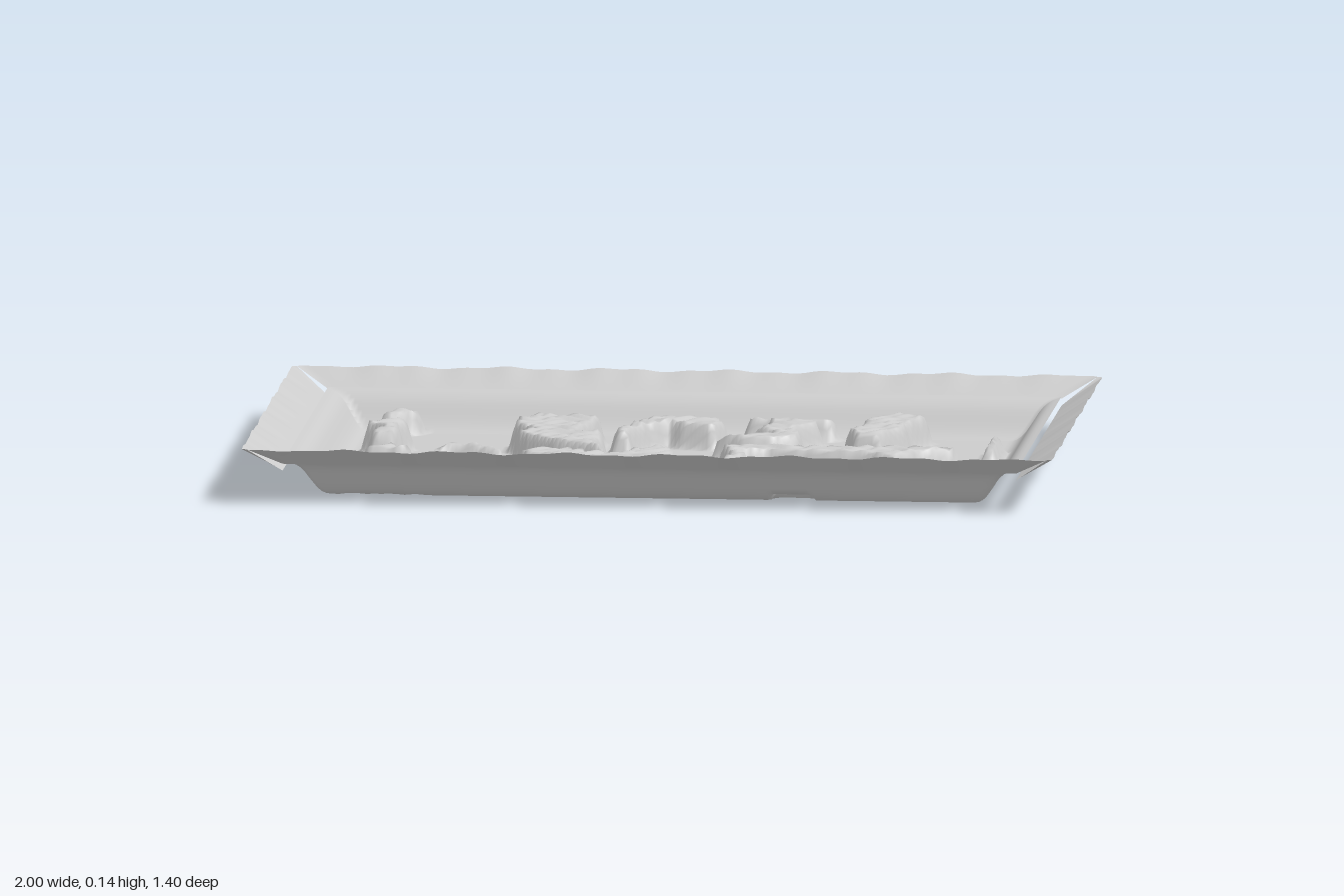
import * as THREE from 'three';

const material = new THREE.MeshStandardMaterial({ color: 0xcccccc, side: THREE.DoubleSide });
const { lerp, smoothstep, clamp } = THREE.MathUtils;

// Half sizes of the basin and of the outer rim
const BASIN_X = 0.905, BASIN_Z = 0.62, RIM_X = 1, RIM_Z = 0.7;

// Basin wall profile: [distance in from the edge, height]
const WALL = [[0, 0.095], [0.025, 0.088], [0.045, 0.072], [0.065, 0.04], [0.085, 0.012], [0.105, 0]];

// Raised islands, each a height and an outline of x, z pairs
const islands = [];
function island(height, ...c) {
  const points = [];
  for (let i = 0; i < c.length; i += 2) points.push([c[i], c[i + 1]]);
  islands.push({ height, points });
}
function peg(height, x, z, r) {
  const c = [];
  for (let i = 0; i < 8; i++) c.push(x + r * Math.cos(i * Math.PI / 4), z + r * Math.sin(i * Math.PI / 4));
  island(height, ...c);
}

// Large central islands
island(0.075, -.36, -.38, -.33, -.36, -.21, -.36, -.21, -.24, -.25, -.11, -.18, -.10, -.17, 0, -.19, .05,
  -.155, .13, -.29, .05, -.36, -.02, -.39, -.07, -.36, -.13, -.41, -.21, -.41, -.30);
island(0.07, -.36, .20, -.28, .14, -.19, .20, -.12, .21, -.065, .14, -.02, .09, .02, .16, .04, .29,
  .03, .40, -.10, .455, -.17, .42, -.16, .33, -.235, .32, -.26, .27, -.34, .24);
// Arch, winding island and bar along the back
island(0.065, -.15, -.13, -.16, -.21, -.11, -.36, -.075, -.42, .075, -.42, .10, -.35, .075, -.29, 0, -.31,
  -.04, -.34, -.09, -.28, -.12, -.21, -.12, -.13);
island(0.065, .20, -.42, .32, -.40, .33, -.35, .28, -.28, .30, -.20, .30, -.13, .235, -.09, .165, -.085,
  .10, -.12, .18, -.14, .23, -.19, .18, -.24, .21, -.32);
island(0.055, .145, -.485, .27, -.47, .36, -.48, .35, -.455, .25, -.45, .15, -.465);
island(0.07, .44, -.40, .47, -.42, .47, -.465, .52, -.49, .59, -.44, .58, -.40, .55, -.32, .555, -.24,
  .52, -.18, .50, -.11, .44, -.12, .415, -.21, .44, -.28);
// Long bent ridge at the front
island(0.075, .13, .10, .25, .085, .35, .11, .51, .09, .72, .095, .62, .165, .565, .235, .49, .20,
  .35, .19, .25, .175, .19, .20, .21, .25, .175, .40, .16, .42, .145, .35, .16, .23);
// Small islands around the edge
island(0.05, .765, -.28, .785, -.28, .785, -.075, .765, -.075);
island(0.05, -.59, .015, -.545, -.03, -.49, -.03, -.42, .02, -.43, .025, -.50, 0, -.55, -.005);
island(0.06, -.76, -.465, -.72, -.51, -.665, -.505, -.68, -.475, -.74, -.455);
island(0.075, -.77, -.21, -.70, -.26, -.67, -.23, -.69, -.19, -.68, -.10, -.69, -.02, -.74, -.01,
  -.75, -.07, -.73, -.13, -.77, -.17);
island(0.08, -.74, .235, -.67, .20, -.62, .23, -.65, .255, -.73, .255);
island(0.06, .64, .475, .73, .40, .78, .345, .78, .44, .72, .49, .66, .49);
island(0.04, .31, .495, .38, .495, .385, .53, .305, .53);
peg(0.08, -.54, .305, .014);
peg(0.07, -.67, .395, .014);
peg(0.08, -.54, .455, .02);

// Distance to an outline, positive inside
function insideDistance(points, x, z) {
  let best = Infinity, inside = false;
  points.forEach(([ax, az], i) => {
    const [bx, bz] = points[(i + 1) % points.length];
    const dx = bx - ax, dz = bz - az;
    const t = clamp(((x - ax) * dx + (z - az) * dz) / (dx * dx + dz * dz), 0, 1);
    best = Math.min(best, Math.hypot(x - ax - t * dx, z - az - t * dz));
    if ((az > z) !== (bz > z) && x < ax + (z - az) * dx / dz) inside = !inside;
  });
  return inside ? best : -best;
}

function wallHeight(d) {
  for (let i = 1; i < WALL.length; i++) {
    const [d0, y0] = WALL[i - 1], [d1, y1] = WALL[i];
    if (d < d1) return lerp(y0, y1, (d - d0) / (d1 - d0));
  }
  return 0;
}

// Gentle repeatable lumps between 0 and 1
const lumps = (x, z) => 0.5 + 0.25 * (Math.sin(83 * x + 5 * Math.sin(31 * z)) + Math.sin(91 * z + 4 * Math.sin(37 * x)));

function basinHeight(x, z) {
  const edge = Math.max(0, Math.min(BASIN_X - Math.abs(x), BASIN_Z - Math.abs(z)));
  let y = wallHeight(edge);
  // Rough patch in the front corner
  y += 0.012 * lumps(x, z) * (1 - smoothstep(Math.hypot(x + 0.68, z - 0.4), 0.08, 0.2)) * smoothstep(edge, 0.08, 0.13);
  for (const { height, points } of islands) {
    const rise = smoothstep(insideDistance(points, x, z), -0.018, 0.008);
    y = Math.max(y, rise * (height + 0.01 * (lumps(x, z) - 0.5)));
  }
  return y;
}

function makeBasin() {
  const geometry = new THREE.PlaneGeometry(2 * BASIN_X, 2 * BASIN_Z, 180, 124).rotateX(-Math.PI / 2);
  const p = geometry.attributes.position;
  for (let i = 0; i < p.count; i++) p.setY(i, basinHeight(p.getX(i), p.getZ(i)));
  geometry.computeVertexNormals();
  const mesh = new THREE.Mesh(geometry, material);
  mesh.name = 'basin';
  return mesh;
}

// One mitred, slightly wavy rim strip that climbs outward
function makeRim(name, innerHalf, outerHalf, innerOut, outerOut, innerY, turn) {
  const geometry = new THREE.PlaneGeometry(1, 1, 120, 6).rotateX(-Math.PI / 2);
  const p = geometry.attributes.position;
  for (let i = 0; i < p.count; i++) {
    const u = 2 * p.getX(i), t = p.getZ(i) + 0.5;
    const x = u * lerp(innerHalf, outerHalf, t);
    const wave = 0.003 * t * (Math.sin(23 * x + turn) + 0.6 * Math.sin(57 * x + 2 * turn)) * (1 - u ** 8);
    // Rounded outer corner
    const corner = 0.012 * t * smoothstep(Math.abs(u), 0.98, 1);
    p.setXYZ(i, x - Math.sign(u) * corner, lerp(innerY, 0.135, t) + wave, lerp(innerOut, outerOut, t) - corner);
  }
  geometry.rotateY(turn);
  geometry.computeVertexNormals();
  const mesh = new THREE.Mesh(geometry, material);
  mesh.name = name;
  return mesh;
}

export function createModel() {
  const model = new THREE.Group();
  model.name = 'tray';
  model.add(makeBasin());
  model.add(makeRim('frontRim', BASIN_X, RIM_X, BASIN_Z, RIM_Z, 0.09, 0));
  model.add(makeRim('backRim', BASIN_X, RIM_X, BASIN_Z, RIM_Z, 0.09, Math.PI));
  model.add(makeRim('leftRim', BASIN_Z, RIM_Z, BASIN_X, RIM_X, 0.073, Math.PI / 2));
  model.add(makeRim('rightRim', BASIN_Z, RIM_Z, BASIN_X, RIM_X, 0.073, -Math.PI / 2));
  return model;
}
